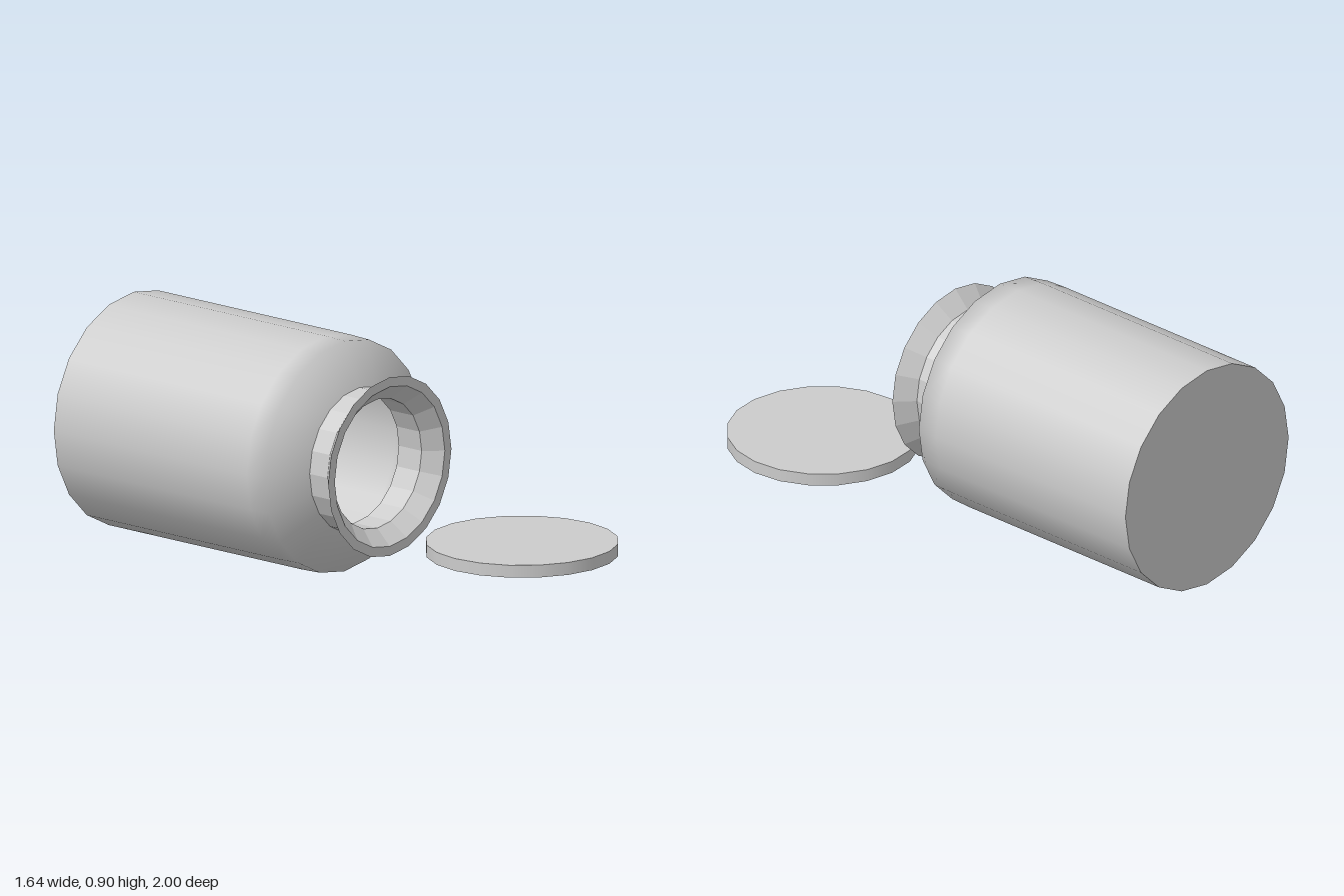
import * as THREE from 'three';

const SIDES = 20;

// Turns a profile of [radius, height] pairs around the jar's axis.
function turned(name, profile, flatShading = false) {
  const points = profile.map(([r, h]) => new THREE.Vector2(r, h));
  const material = new THREE.MeshStandardMaterial({ color: 0xcccccc, flatShading });
  const mesh = new THREE.Mesh(new THREE.LatheGeometry(points, SIDES), material);
  mesh.name = name;
  return mesh;
}

export function createModel() {
  const model = new THREE.Group();
  model.name = 'openJarWithLid';

  // Jar: profiles run from the outer base, over the rim, to the inner floor
  const jar = new THREE.Group();
  jar.name = 'jar';
  jar.add(
    turned('base', [[0, 0], [0.45, 0]]),
    turned('bodyAndShoulder', [[0.45, 0], [0.45, 0.1], [0.45, 0.97], [0.447, 1.06], [0.28, 1.135]]),
    turned('neck', [[0.28, 1.135], [0.28, 1.225]], true),
    turned('rim', [[0.28, 1.225], [0.347, 1.288], [0.31, 1.288], [0.25, 1.225]], true),
    turned('innerNeck', [[0.25, 1.225], [0.25, 1.11]], true),
    turned('innerWall', [[0.25, 1.11], [0.412, 1.04], [0.415, 0.95], [0.415, 0.035]]),
    turned('innerFloor', [[0.415, 0.035], [0, 0.035]])
  );

  // Lay the jar on its side, mouth forward and turned 20 degrees to its left
  jar.rotation.set(Math.PI / 2, THREE.MathUtils.degToRad(20), 0, 'YXZ');
  jar.position.set(-0.4, 0.45, -0.846);
  model.add(jar);

  // Loose lid in front of the mouth
  const lid = new THREE.Mesh(
    new THREE.CylinderGeometry(0.364, 0.364, 0.048, SIDES),
    new THREE.MeshStandardMaterial({ color: 0xcccccc })
  );
  lid.name = 'lid';
  lid.position.set(0.458, 0.15, 0.636);
  model.add(lid);

  return model;
}
